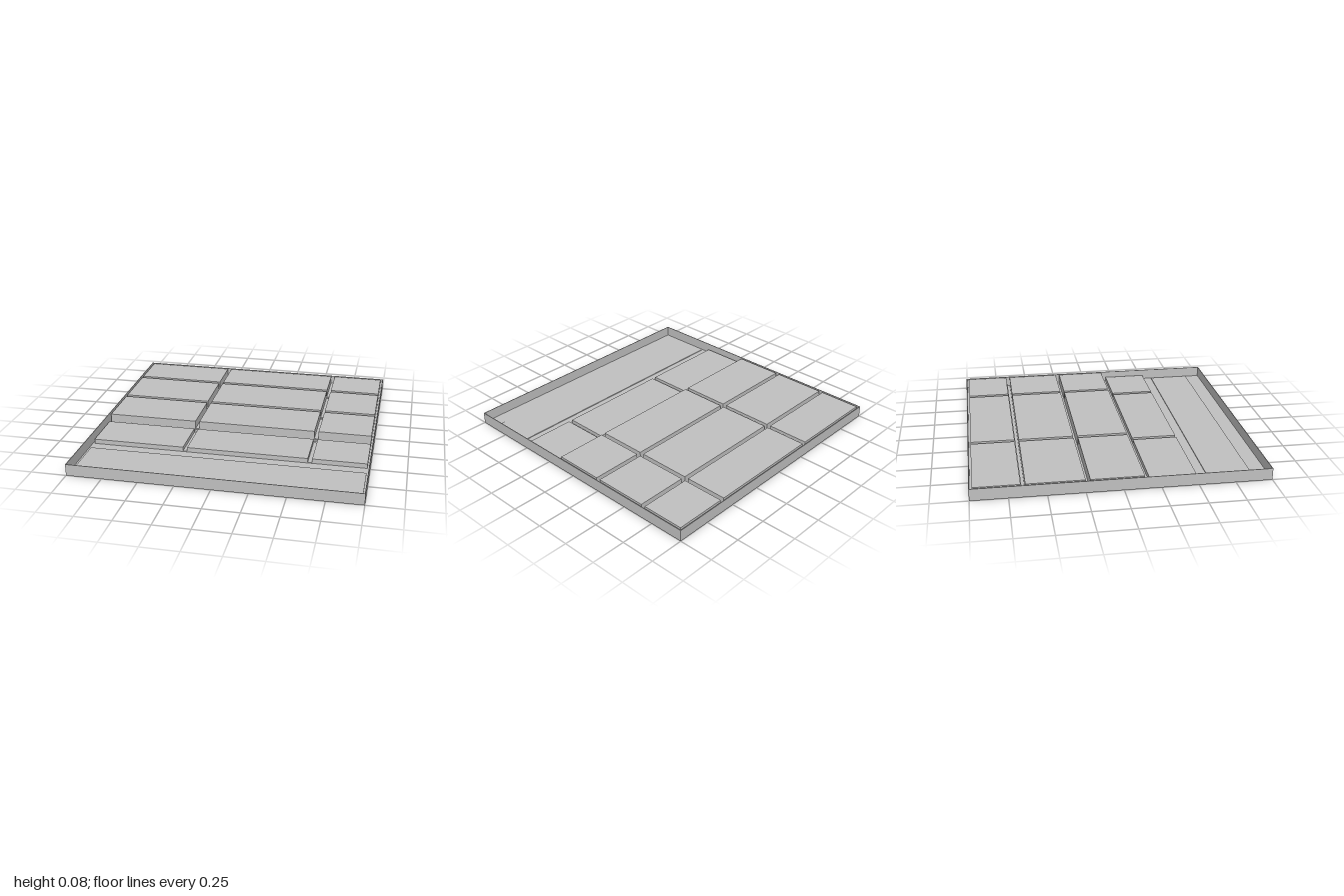
import * as THREE from 'three';

export function createModel() {
  const model = new THREE.Group();
  const grey = new THREE.MeshStandardMaterial({ color: 0xc0c0c0 });
  grey.name = 'plain grey';

  const H = 0.083; // rim height
  const FLOOR = 0.006; // sheet thickness of the floor
  const T = 0.005; // wall thickness
  const EDGE = 0.98; // half width of the panel rows

  // Box given by its limits on each axis
  function box(parent, name, x0, x1, y0, y1, z0, z1) {
    const mesh = new THREE.Mesh(new THREE.BoxGeometry(x1 - x0, y1 - y0, z1 - z0), grey);
    mesh.position.set((x0 + x1) / 2, (y0 + y1) / 2, (z0 + z1) / 2);
    mesh.name = name;
    parent.add(mesh);
  }

  // Outer rim
  const rim = new THREE.Group();
  rim.name = 'rim';
  model.add(rim);
  for (const s of [-1, 1]) {
    const a = s < 0 ? -1 : 1 - T;
    box(rim, 'sideWall', a, a + T, 0, H, -1, 1);
    box(rim, 'endWall', -1 + T, 1 - T, 0, H, a, a + T);
  }

  // Floor sheet, left open beneath the hollow rows
  const floor = new THREE.Group();
  floor.name = 'floor';
  model.add(floor);
  for (const [z0, z1] of [[-1 + T, -0.98], [-0.67, 0.18], [0.5, 1 - T]]) {
    box(floor, 'floorSheet', -1 + T, 1 - T, 0, FLOOR, z0, z1);
  }
  for (const [z0, z1] of [[-0.98, -0.67], [0.18, 0.5]]) {
    box(floor, 'floorEdge', -1 + T, -EDGE, 0, FLOOR, z0, z1);
    box(floor, 'floorEdge', EDGE, 1 - T, 0, FLOOR, z0, z1);
  }

  // Low ledges in the gaps between the raised rows
  for (const [z0, z1] of [[-0.67, -0.66], [-0.25, -0.24], [0.14, 0.15]]) {
    box(floor, 'gapLedge', -EDGE, EDGE, 0, 0.02, z0, z1);
  }

  // Raised rows: three hollow panels separated by two channels
  const columns = [[-EDGE, -0.32], [-0.29, 0.57], [0.6, EDGE]];
  const channels = [[-0.32, -0.29], [0.57, 0.6]];
  const rows = [
    { name: 'backRow', z0: -0.98, z1: -0.67, top: H, groove: 0.025 },
    { name: 'secondRow', z0: -0.64, z1: -0.25, top: H, groove: 0.025 },
    { name: 'thirdRow', z0: -0.22, z1: 0.14, top: H, groove: 0.025 },
    { name: 'lowRow', z0: 0.18, z1: 0.5, top: 0.04, groove: 0.012 },
  ];
  for (const { name, z0, z1, top, groove } of rows) {
    const row = new THREE.Group();
    row.name = name;
    model.add(row);
    for (const [x0, x1] of columns) {
      box(row, 'panel', x0, x1, top - T, top, z0, z1);
      box(row, 'panelBack', x0, x1, 0, top - T, z0, z0 + T);
      box(row, 'panelFront', x0, x1, 0, top - T, z1 - T, z1);
      // Side walls reach the floor at the rim, and the channel elsewhere
      const low0 = x0 === -EDGE ? 0 : groove;
      const low1 = x1 === EDGE ? 0 : groove;
      box(row, 'panelSide', x0, x0 + T, low0, top - T, z0 + T, z1 - T);
      box(row, 'panelSide', x1 - T, x1, low1, top - T, z0 + T, z1 - T);
    }
    for (const [x0, x1] of channels) {
      box(row, 'channelBottom', x0 - T, x1 + T, groove - T, groove, z0 + T, z1 - T);
      box(row, 'channelEnd', x0, x1, 0, groove, z0, z0 + T);
      box(row, 'channelEnd', x0, x1, 0, groove, z1 - T, z1);
    }
  }

  // Shallow plate at the front
  box(model, 'frontPlate', -EDGE, EDGE, FLOOR, 0.012, 0.58, 0.885);

  return model;
}
